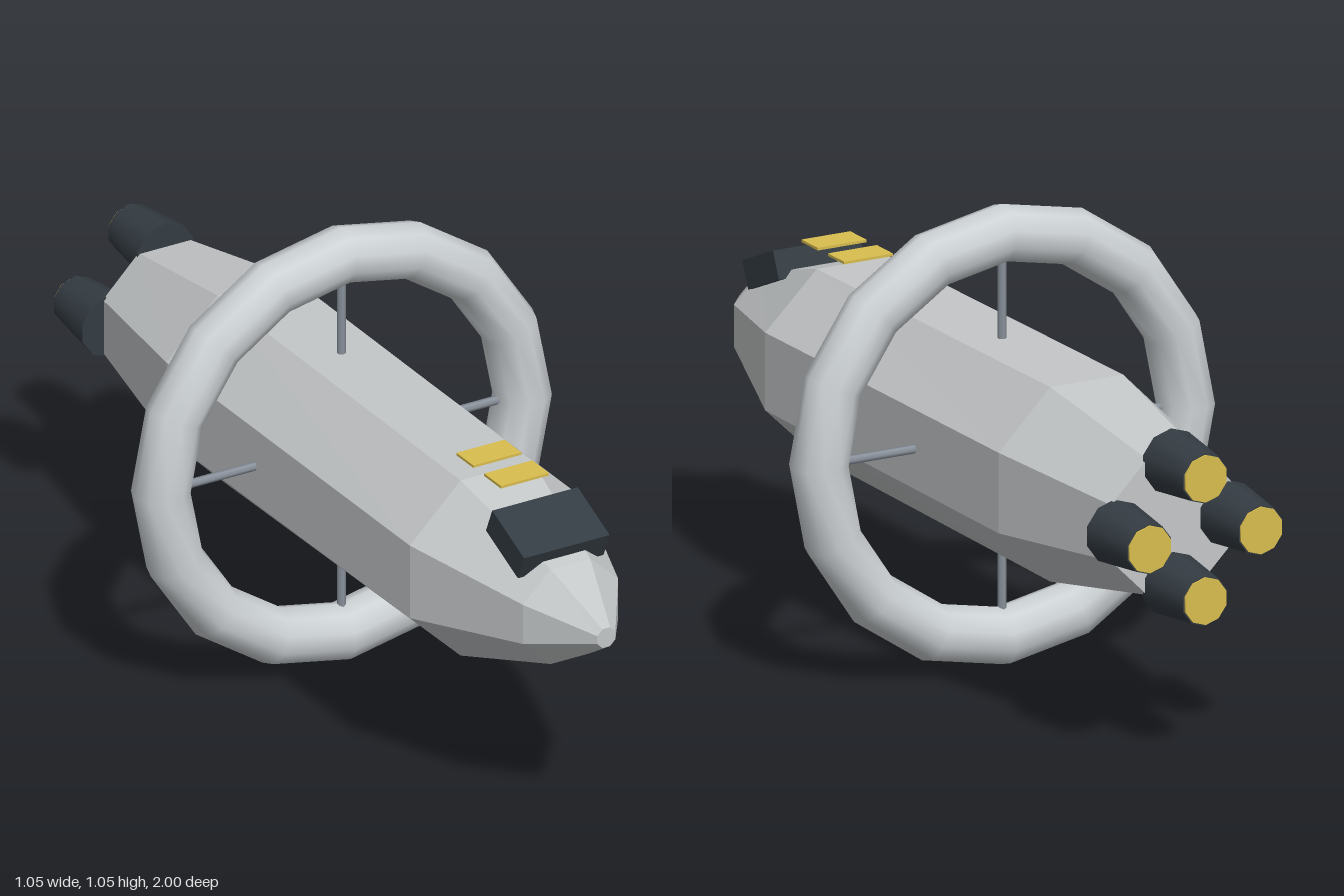
import * as THREE from 'three';

const CY = 0.527;      // height of the ship's axis
const RING_Z = -0.11;  // station of the habitat ring

// Eight-sided hull lofted through sections [z, centre y, half width, half height]
function hullGeometry(sections) {
  const SIDES = 8, pos = [], idx = [];
  const c = Math.cos(Math.PI / SIDES);
  for (const [z, y, w, h] of sections) {
    for (let i = 0; i < SIDES; i++) {
      const a = ((i + 0.5) / SIDES) * Math.PI * 2;
      pos.push((Math.cos(a) * w) / c, y + (Math.sin(a) * h) / c, z);
    }
  }
  // side faces
  for (let s = 0; s < sections.length - 1; s++) {
    for (let i = 0; i < SIDES; i++) {
      const j = (i + 1) % SIDES;
      const a = s * SIDES + i, b = s * SIDES + j;
      idx.push(a, a + SIDES, b, b, a + SIDES, b + SIDES);
    }
  }
  // end caps
  const last = (sections.length - 1) * SIDES;
  for (let i = 1; i < SIDES - 1; i++) {
    idx.push(0, i, i + 1);
    idx.push(last, last + i + 1, last + i);
  }
  const indexed = new THREE.BufferGeometry();
  indexed.setAttribute('position', new THREE.Float32BufferAttribute(pos, 3));
  indexed.setIndex(idx);
  const g = indexed.toNonIndexed();
  g.computeVertexNormals();
  return g;
}

export function createModel() {
  const model = new THREE.Group();
  model.name = 'spaceship';

  const material = (name, color, parent) => {
    const m = new THREE.MeshStandardMaterial({ color });
    m.name = name;
    return m;
  };
  const hullGrey = material('hull grey', 0xc4c7c8);
  const ringGrey = material('ring pale grey', 0xcdd2d5);
  const strutGrey = material('strut blue grey', 0x8a929c);
  const dark = material('dark slate', 0x343c43);
  const gold = material('glow gold', 0xd9bd4e);

  const add = (name, geometry, mat, x, y, z) => {
    const mesh = new THREE.Mesh(geometry, mat);
    mesh.name = name;
    mesh.position.set(x, y, z);
    model.add(mesh);
    return mesh;
  };

  // Main hull, nose first
  add('hull', hullGeometry([
    [1.0, 0.533, 0.023, 0.023],
    [0.85, 0.532, 0.121, 0.115],
    [0.54, CY, 0.22, 0.213],
    [-0.48, CY, 0.22, 0.221],
    [-0.855, CY, 0.154, 0.154],
  ]), hullGrey, 0, 0, 0);

  // Habitat ring
  add('habitatRing', new THREE.TorusGeometry(0.458, 0.065, 10, 16), ringGrey, 0, CY, RING_Z);

  // Four spokes and four engines, arranged in a cross around the axis
  const spoke = new THREE.CylinderGeometry(0.01, 0.01, 0.27, 6);
  const nozzle = new THREE.CylinderGeometry(0.074, 0.057, 0.148, 10).rotateX(Math.PI / 2);
  const glow = new THREE.CylinderGeometry(0.054, 0.054, 0.004, 10).rotateX(Math.PI / 2);
  for (let i = 0; i < 4; i++) {
    const a = (i * Math.PI) / 2;
    const dx = Math.cos(a), dy = Math.sin(a);
    const n = i + 1;
    add('spoke' + n, spoke, strutGrey, dx * 0.285, CY + dy * 0.285, RING_Z)
      .rotation.z = a - Math.PI / 2;
    add('engineNozzle' + n, nozzle, dark, dx * 0.139, CY + dy * 0.139, -0.922);
    add('engineGlow' + n, glow, gold, dx * 0.139, CY + dy * 0.139, -0.998);
  }

  // Tilted bridge block on the nose
  add('bridge', new THREE.BoxGeometry(0.217, 0.065, 0.146), dark, 0, 0.682, 0.755)
    .rotation.x = 0.41;

  // Floating marker plates above the forward hull
  for (const z of [0.508, 0.624]) {
    add('markerPlate', new THREE.BoxGeometry(0.122, 0.006, 0.071), gold, 0, 0.767, z);
  }

  return model;
}
